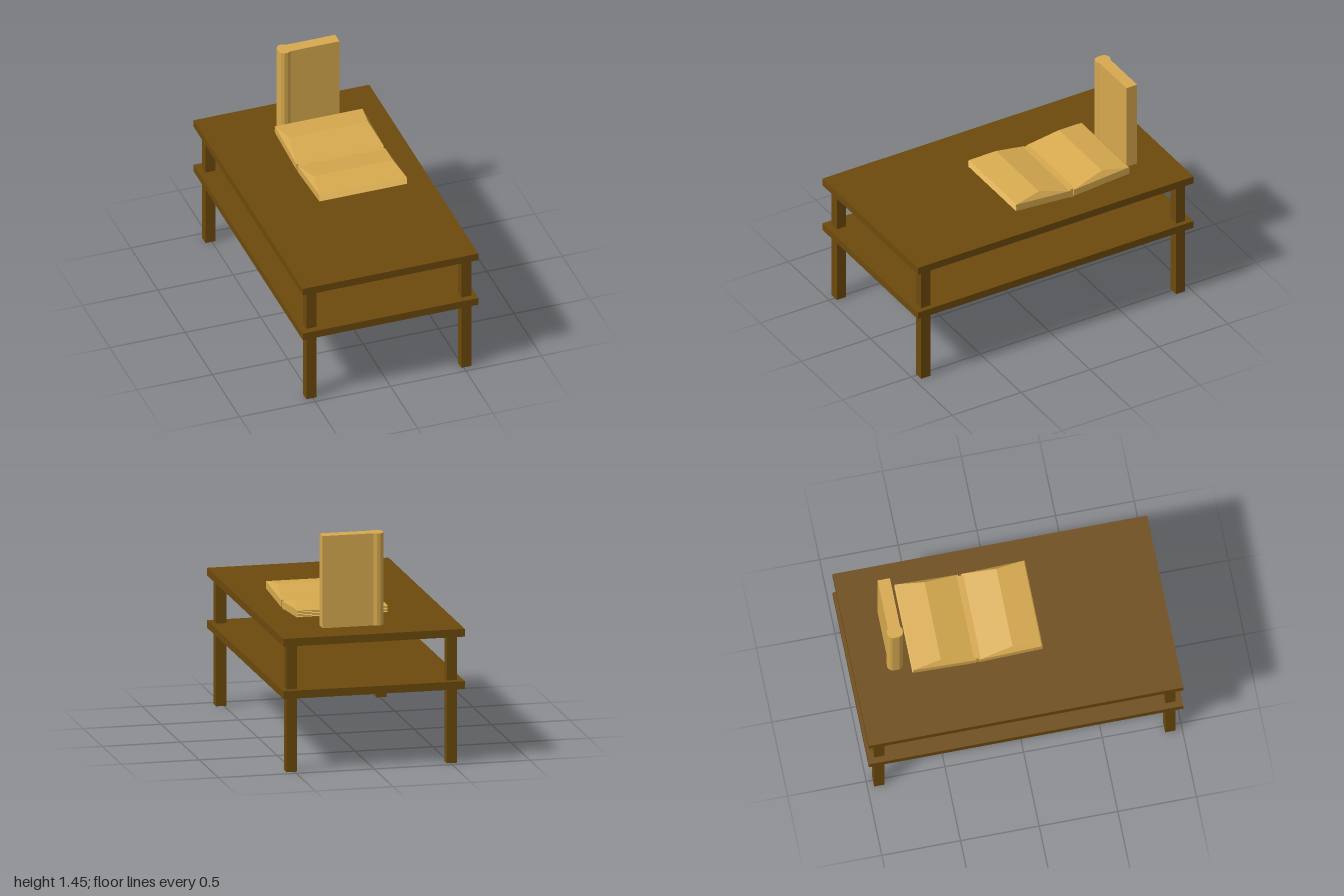
import * as THREE from 'three';

const wood = new THREE.MeshStandardMaterial({ color: 0x6c4a0c });
wood.name = 'dark wood';
const paper = new THREE.MeshStandardMaterial({ color: 0xd6a94f });
paper.name = 'tan paper';

function add(parent, name, geometry, material, x = 0, y = 0, z = 0) {
  const mesh = new THREE.Mesh(geometry, material);
  mesh.name = name;
  mesh.position.set(x, y, z);
  parent.add(mesh);
  return mesh;
}

// Extrudes a (z, y) profile along x, centred on x = 0
function extrudeAlongX(points, width) {
  const shape = new THREE.Shape(points.map(([a, b]) => new THREE.Vector2(a, b)));
  const geometry = new THREE.ExtrudeGeometry(shape, { depth: width, bevelEnabled: false });
  geometry.translate(0, 0, -width / 2);
  geometry.rotateY(-Math.PI / 2);
  return geometry;
}

function createTable() {
  const table = new THREE.Group();
  table.name = 'table';
  add(table, 'tableTop', new THREE.BoxGeometry(1.164, 0.05, 2), wood, 0, 0.84, 0);
  add(table, 'shelf', new THREE.BoxGeometry(1.164, 0.05, 2), wood, 0, 0.505, 0);
  for (const x of [-0.51, 0.518]) {
    for (const z of [-0.925, 0.925]) {
      add(table, 'leg', new THREE.BoxGeometry(0.066, 0.816, 0.066), wood, x, 0.408, z);
    }
  }
  return table;
}

// One half of the open book, reaching from the spine towards +z
function createPages() {
  const pages = new THREE.Group();
  pages.name = 'bookHalf';

  // Page block with a zigzag fore edge
  const profile = [[0.01, 0.88]];
  const teeth = 5;
  for (let i = 0; i <= teeth * 2; i++) {
    profile.push([i % 2 ? 0.414 : 0.407, 0.909 + (0.048 * i) / (teeth * 2)]);
  }
  profile.push([0.01, 0.925]);
  add(pages, 'pageBlock', extrudeAlongX(profile, 0.58), paper);

  // Raised page crest, narrowed along its ridge
  const crest = extrudeAlongX([[0.01, 0.925], [0.407, 0.957], [0.228, 0.98]], 0.58);
  const p = crest.attributes.position;
  for (let i = 0; i < p.count; i++) {
    if (p.getY(i) > 0.97) p.setX(i, Math.sign(p.getX(i)) * 0.262);
  }
  crest.computeVertexNormals();
  add(pages, 'pageCrest', crest, paper);
  return pages;
}

function createOpenBook() {
  const book = new THREE.Group();
  book.name = 'openBook';
  const front = createPages();
  const back = createPages();
  back.rotation.y = Math.PI;
  book.add(front, back);
  const spine = [[-0.01, 0.866], [0.01, 0.866], [0.021, 0.882], [0.021, 0.928], [-0.021, 0.928], [-0.021, 0.882]];
  add(book, 'openBookSpine', extrudeAlongX(spine, 0.56), paper);
  book.position.set(0.115, 0, -0.228);
  return book;
}

// Upright closed book with a rounded spine
function createStandingBook() {
  const half = [[-0.12, 0.022], [-0.112, 0.037], [-0.095, 0.05], [-0.07, 0.05], [-0.05, 0.039], [0.275, 0.039]];
  const outline = [...half, ...half.map(([x, z]) => [x, -z]).reverse()];
  const shape = new THREE.Shape(outline.map(([x, z]) => new THREE.Vector2(x, z)));
  const geometry = new THREE.ExtrudeGeometry(shape, { depth: 0.59, bevelEnabled: false });
  geometry.rotateX(-Math.PI / 2);
  const group = new THREE.Group();
  add(group, 'standingBook', geometry, paper, 0, 0.865, -0.735);
  group.name = 'standingBookGroup';
  return group;
}

export function createModel() {
  const model = new THREE.Group();
  model.name = 'tableWithBooks';
  model.add(createTable(), createOpenBook(), createStandingBook());
  return model;
}
